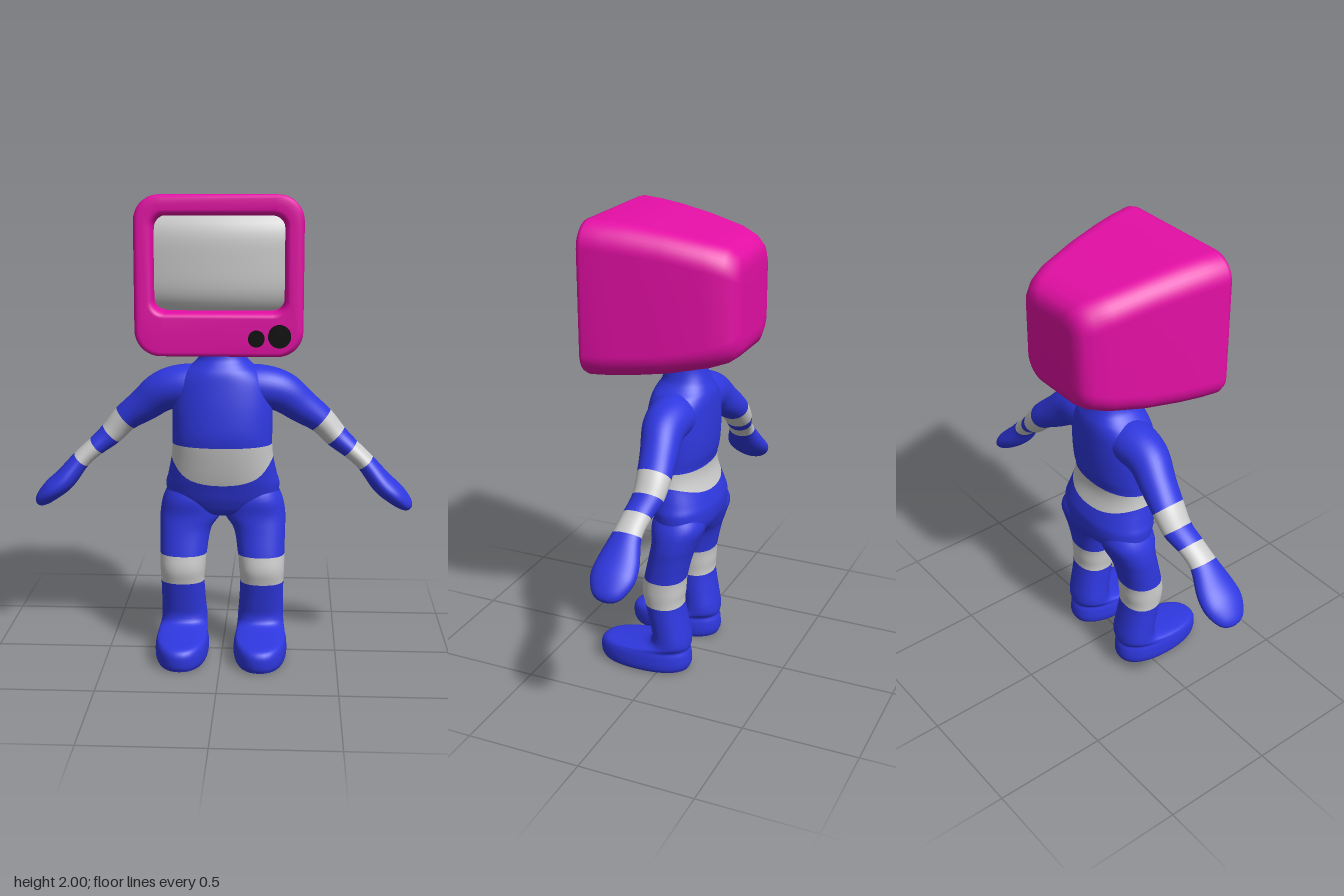
import * as THREE from 'three';

const mat = (name, color, side = THREE.FrontSide) => {
  const m = new THREE.MeshStandardMaterial({ color, side });
  m.name = name;
  return m;
};

// Skin through rings interpolated between key rows. bands = key intervals that use the second material.
function loft(name, keys, place, mats, { n = 36, sub = 5, bands = [], smooth = true, warp = t => t } = {}) {
  const Interp = smooth ? THREE.CubicInterpolant : THREE.LinearInterpolant;
  const interp = new Interp(keys.map((_, i) => i), keys.flat(), keys[0].length);
  const sample = t => Array.from(interp.evaluate(t));
  const rows = (keys.length - 1) * sub;
  const pos = [], idx = [];
  for (let r = 0; r <= rows; r++) {
    for (let i = 0; i < n; i++) {
      const a = (i / n) * Math.PI * 2;
      const t = warp(r / sub, a);
      pos.push(...place(sample(t), a, i, t, sample));
    }
  }
  const geo = new THREE.BufferGeometry();
  for (let r = 0; r < rows; r++) {
    geo.addGroup(idx.length, n * 6, bands.includes(Math.floor(r / sub)) ? 1 : 0);
    for (let i = 0; i < n; i++) {
      const A = r * n + i, C = r * n + (i + 1) % n;
      idx.push(A, A + n, C, A + n, C + n, C);
    }
  }
  geo.setAttribute('position', new THREE.Float32BufferAttribute(pos, 3));
  geo.setIndex(idx);
  geo.computeVertexNormals();
  const mesh = new THREE.Mesh(geo, mats);
  mesh.name = name;
  return mesh;
}

// Slightly squared ellipse
const sq = (v, e = 0.9) => Math.sign(v) * Math.pow(Math.abs(v), e);

export function createModel() {
  const blue = mat('suitBlue', 0x2f38e0);
  const grey = mat('bandGrey', 0xcccccc);
  const pink = mat('casePink', 0xe40fa5);
  const black = mat('knobBlack', 0x0a0a0a);
  const suit = [blue, grey];
  const model = new THREE.Group();
  model.name = 'screenHeadFigure';

  // Torso with belt: y, rx, cz, rz
  const torso = [
    [0.60, 0.0, -0.05, 0.0], [0.625, 0.13, -0.05, 0.08], [0.68, 0.23, -0.055, 0.12],
    [0.75, 0.247, -0.048, 0.137], [0.80, 0.236, -0.035, 0.14], [0.88, 0.22, -0.012, 0.135],
    [0.94, 0.215, -0.004, 0.138], [1.0, 0.215, -0.008, 0.147], [1.1, 0.215, -0.015, 0.145],
    [1.2, 0.2, -0.022, 0.136], [1.25, 0.165, -0.025, 0.128], [1.28, 0.128, -0.028, 0.115],
    [1.31, 0.102, -0.03, 0.1], [1.36, 0.09, -0.025, 0.088], [1.43, 0.088, -0.025, 0.085]];
  // The lower belt edge dips at the front and a little at the back
  const beltDip = (t, a) => {
    const s = Math.sin(a), d = (s > 0 ? 1.65 : 0.6) * s * s;
    if (t <= 5) return t * (5 - d) / 5;
    return t < 6 ? t - d * (6 - t) : t;
  };
  model.add(loft('torso', torso, ([y, rx, cz, rz], a) =>
    [rx * sq(Math.cos(a)), y, cz + rz * sq(Math.sin(a))], suit, { n: 48, bands: [5], warp: beltDip }));

  // Leg and foot, sole upwards: y, cx, rx, cz, rz
  const leg = [
    [0.0, 0.17, 0, 0.09, 0], [0.0, 0.17, 0.09, 0.09, 0.18], [0.008, 0.17, 0.108, 0.09, 0.205],
    [0.035, 0.17, 0.115, 0.09, 0.214], [0.075, 0.17, 0.114, 0.09, 0.212], [0.098, 0.17, 0.109, 0.08, 0.195],
    [0.108, 0.17, 0.106, 0.04, 0.158], [0.125, 0.169, 0.102, -0.022, 0.098], [0.16, 0.169, 0.1, -0.035, 0.082],
    [0.22, 0.171, 0.097, -0.025, 0.081], [0.32, 0.174, 0.095, -0.006, 0.084], [0.38, 0.173, 0.099, -0.002, 0.092],
    [0.445, 0.17, 0.102, -0.008, 0.09], [0.55, 0.162, 0.112, -0.03, 0.091], [0.62, 0.14, 0.134, -0.047, 0.1],
    [0.70, 0.135, 0.122, -0.055, 0.112], [0.8, 0.12, 0.08, -0.05, 0.07]];

  // Arm and mitten hand: x, y, z, half thickness, half depth
  const arm = [
    [0.05, 1.17, -0.03, 0.1, 0.1], [0.16, 1.18, -0.03, 0.095, 0.1], [0.255, 1.157, -0.035, 0.088, 0.09],
    [0.34, 1.093, -0.055, 0.074, 0.08], [0.425, 1.03, -0.073, 0.06, 0.073], [0.49, 0.96, -0.075, 0.052, 0.066],
    [0.553, 0.908, -0.058, 0.043, 0.06], [0.62, 0.848, -0.045, 0.041, 0.062], [0.69, 0.763, -0.04, 0.048, 0.09],
    [0.745, 0.715, -0.04, 0.046, 0.094], [0.79, 0.674, -0.04, 0.035, 0.07], [0.811, 0.654, -0.04, 0.02, 0.04],
    [0.818, 0.647, -0.04, 0, 0]];

  for (const [side, s] of [['left', 1], ['right', -1]]) {
    model.add(loft(side + 'Leg', leg, ([y, cx, rx, cz, rz], a) =>
      [s * cx + rx * sq(Math.cos(a)), y, cz + rz * sq(Math.sin(a))], suit, { bands: [10, 11] }));
    model.add(loft(side + 'Arm', arm, ([x, y, z, ra, rz], a, i, t, sample) => {
      const p = sample(Math.max(0, t - 0.3)), q = sample(Math.min(arm.length - 1, t + 0.3));
      const dx = s * (q[0] - p[0]), dy = q[1] - p[1], len = Math.hypot(dx, dy), c = ra * Math.cos(a);
      return [s * x + c * dy / len, y - c * dx / len, z + rz * Math.sin(a)];
    }, suit, { bands: [4, 6] }));
  }

  // Screen case from the recess, over the front lip, to the back: z, half width, bottom, top, corner radius
  const head = new THREE.Group();
  head.name = 'head';
  const shell = [
    [0.15, 0.262, 1.535, 1.915, 0.05], [0.27, 0.264, 1.533, 1.917, 0.05], [0.29, 0.268, 1.529, 1.921, 0.053],
    [0.3, 0.277, 1.52, 1.93, 0.06], [0.303, 0.287, 1.51, 1.94, 0.065], [0.303, 0.306, 1.44, 1.962, 0.08],
    [0.303, 0.322, 1.373, 1.982, 0.095], [0.299, 0.334, 1.361, 1.994, 0.1], [0.28, 0.34, 1.355, 2.0, 0.105],
    [0.2, 0.329, 1.358, 1.996, 0.105], [0.11, 0.313, 1.365, 1.988, 0.105], [-0.04, 0.282, 1.385, 1.965, 0.1],
    [-0.2, 0.245, 1.418, 1.933, 0.1], [-0.27, 0.216, 1.44, 1.91, 0.1], [-0.305, 0.19, 1.465, 1.882, 0.09],
    [-0.32, 0.16, 1.5, 1.85, 0.07], [-0.322, 0.12, 1.54, 1.81, 0.05], [-0.322, 0, 1.675, 1.675, 0]];
  head.add(loft('screenCase', shell, ([z, hw, lo, hi, r], a, i) => {
    const q = Math.floor(i / 10), b = (q + (i % 10) / 9) * Math.PI / 2;
    const sx = q === 0 || q === 3 ? 1 : -1, sy = q < 2 ? 1 : -1;
    return [sx * (hw - r) + r * Math.cos(b), (lo + hi) / 2 + sy * ((hi - lo) / 2 - r) + r * Math.sin(b), z];
  }, [pink, grey], { n: 40, sub: 1, smooth: false }));

  // Bulging glass
  const glass = new THREE.PlaneGeometry(0.54, 0.4, 24, 20);
  const p = glass.attributes.position;
  for (let i = 0; i < p.count; i++) {
    const u = p.getX(i) / 0.27, v = p.getY(i) / 0.2;
    p.setZ(i, 0.262 - 0.03 * u * u - 0.05 * v ** 4);
  }
  glass.computeVertexNormals();
  const screen = new THREE.Mesh(glass, grey);
  screen.name = 'screen';
  screen.position.y = 1.725;
  head.add(screen);

  // Control knobs
  for (const [name, x, y, r] of [['smallKnob', 0.152, 1.432, 0.033], ['largeKnob', 0.245, 1.442, 0.046]]) {
    const knob = new THREE.Mesh(new THREE.CylinderGeometry(r, r, 0.04, 28).rotateX(Math.PI / 2), black);
    knob.name = name;
    knob.position.set(x, y, 0.302);
    head.add(knob);
  }
  model.add(head);
  return model;
}
